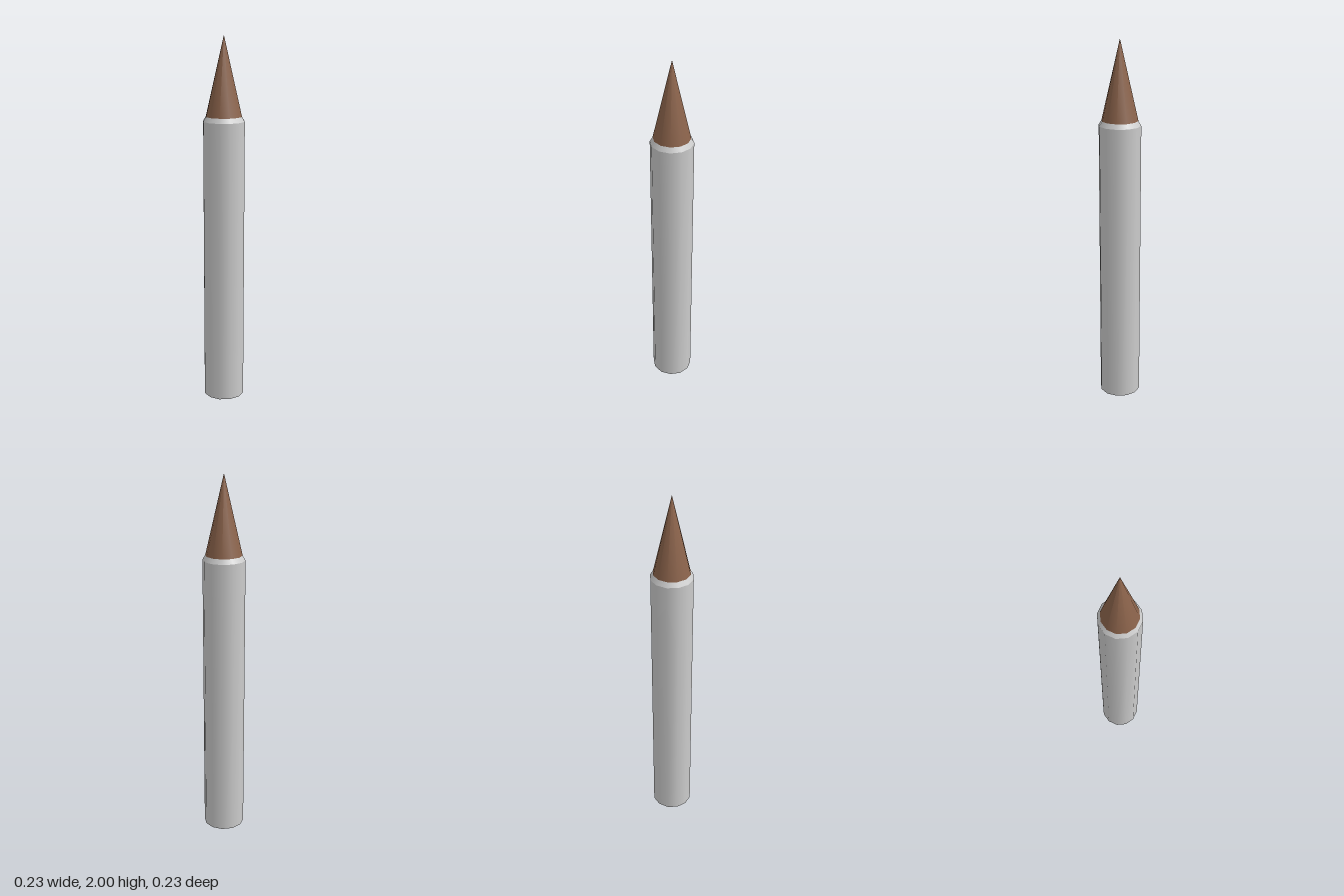
import * as THREE from 'three';

const SIDES = 12;
const BODY_RADIUS = 0.113;
const TIP_RADIUS = 0.098;
const SHOULDER_Y = 1.555;
const TIP_Y = 1.58;

const grey = new THREE.MeshStandardMaterial({ color: 0xcccccc, side: THREE.DoubleSide });
const wood = new THREE.MeshStandardMaterial({ color: 0x8b634b, side: THREE.DoubleSide });

// Open twelve-sided ring spanning y0 to y1
function section(name, r0, r1, y0, y1, rows, material) {
  const geometry = new THREE.CylinderGeometry(r1, r0, y1 - y0, SIDES, rows, true);
  geometry.translate(0, (y0 + y1) / 2, 0);
  const mesh = new THREE.Mesh(geometry, material);
  mesh.name = name;
  return mesh;
}

export function createModel() {
  const model = new THREE.Group();
  model.name = 'pencil';
  model.add(
    // Hollow barrel, open at the bottom
    section('barrel', BODY_RADIUS, BODY_RADIUS, 0, SHOULDER_Y, 1, grey),
    // Narrow bevel where the barrel meets the tip
    section('shoulder', BODY_RADIUS, TIP_RADIUS, SHOULDER_Y, TIP_Y, 1, grey),
    // Sharpened wooden point
    section('tip', TIP_RADIUS, 0, TIP_Y, 2, 1, wood)
  );
  return model;
}
